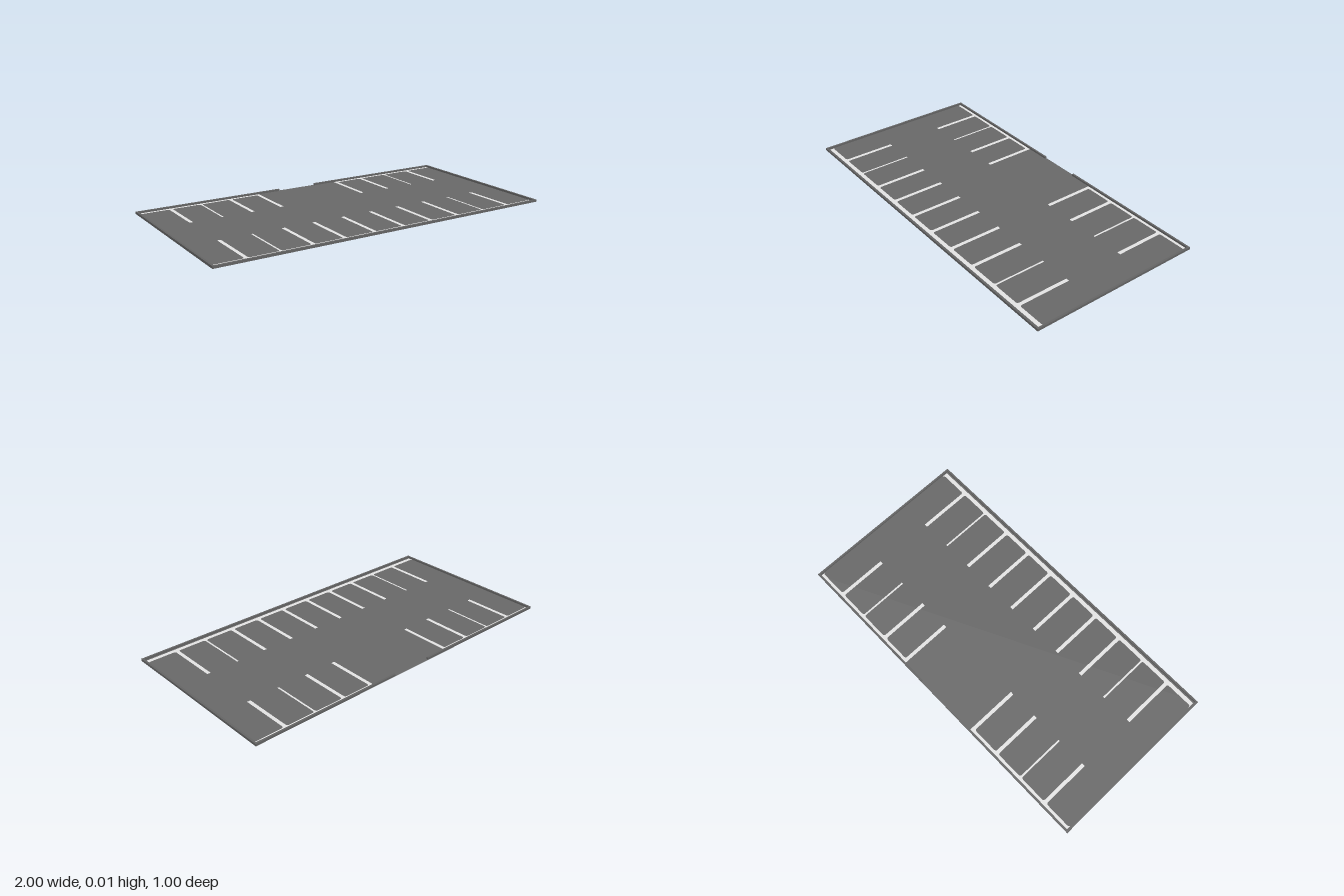
import * as THREE from 'three';

const asphalt = new THREE.MeshStandardMaterial({ color: 0x6a6a6a });
asphalt.name = 'asphalt';
const kerbGrey = new THREE.MeshStandardMaterial({ color: 0x666666 });
kerbGrey.name = 'kerb grey';
const paint = new THREE.MeshStandardMaterial({ color: 0xeaeaea });
paint.name = 'white paint';

const FLOOR = 0.002, HEIGHT = 0.013, KERB = 0.011, FILLET = 0.013;

function box(name, material, x0, x1, y0, y1, z0, z1) {
  const mesh = new THREE.Mesh(new THREE.BoxGeometry(x1 - x0, y1 - y0, z1 - z0), material);
  mesh.position.set((x0 + x1) / 2, (y0 + y1) / 2, (z0 + z1) / 2);
  mesh.name = name;
  return mesh;
}

// Comb of bay markings: a strip from base to top with filleted teeth reaching to tip
function bayMarkings(name, x0, x1, base, top, tip, teeth) {
  const s = new THREE.Shape();
  s.moveTo(x0, base);
  s.lineTo(x1, base);
  const columns = teeth.map(x => ({ x, w: Math.abs(Math.abs(x) - 0.63) < 0.02 ? 0.005 : 0.01, end: tip }));
  const isEnd = edge => columns.some(c => Math.abs(c.x - edge) < 0.02);
  // A strip end without a tooth gets only a corner fillet
  if (!isEnd(x1)) columns.push({ x: x1, w: 0, end: top + FILLET });
  if (!isEnd(x0)) columns.push({ x: x0, w: 0, end: top + FILLET });
  columns.sort((a, b) => b.x - a.x);
  for (const { x, w, end } of columns) {
    const r = x + w, l = x - w;
    if (r < x1 - 0.005) {
      s.lineTo(r + FILLET, top);
      s.quadraticCurveTo(r, top, r, top + FILLET);
    }
    s.lineTo(r, end);
    if (w > 0) s.lineTo(l, end);
    if (l > x0 + 0.005) {
      s.lineTo(l, top + FILLET);
      s.quadraticCurveTo(l, top, l - FILLET, top);
    }
  }
  s.closePath();
  const geometry = new THREE.ShapeGeometry(s, 4);
  geometry.rotateX(-Math.PI / 2);
  const mesh = new THREE.Mesh(geometry, paint);
  mesh.position.y = FLOOR + 0.0006;
  mesh.name = name;
  return mesh;
}

export function createModel() {
  const lot = new THREE.Group();
  lot.name = 'parkingLot';

  // Paved surface
  lot.add(box('pavement', asphalt, -1, 1, 0, FLOOR, -0.5, 0.5));

  // Raised kerbs, with an entrance gap in the back one
  lot.add(box('frontKerb', kerbGrey, -1, 1, 0, HEIGHT, 0.5 - KERB, 0.5));
  lot.add(box('rightKerb', kerbGrey, -1, -1 + KERB, 0, HEIGHT, -0.5, 0.5 - KERB));
  lot.add(box('leftKerb', kerbGrey, 1 - KERB, 1, 0, HEIGHT, -0.5, 0.5 - KERB));
  lot.add(box('backKerbRight', kerbGrey, -1 + KERB, -0.12, 0, HEIGHT, -0.5, -0.5 + KERB));
  lot.add(box('backKerbLeft', kerbGrey, 0.12, 1 - KERB, 0, HEIGHT, -0.5, -0.5 + KERB));

  // Front row of bays
  const frontTeeth = [-0.81, -0.63, -0.45, -0.27, -0.09, 0.09, 0.27, 0.45, 0.63, 0.81];
  lot.add(bayMarkings('frontBayLines', -0.985, 0.985, -0.48, -0.457, -0.155, frontTeeth));

  // Two back rows, turned round to face the front
  const backRows = new THREE.Group();
  backRows.name = 'backBayLines';
  backRows.rotation.y = Math.PI;
  backRows.add(bayMarkings('backBayLinesLeft', -0.985, -0.26, -0.488, -0.472, -0.187, [-0.81, -0.63, -0.45, -0.27]));
  backRows.add(bayMarkings('backBayLinesRight', 0.26, 0.985, -0.488, -0.472, -0.187, [0.27, 0.45, 0.63, 0.81]));
  lot.add(backRows);

  return lot;
}
